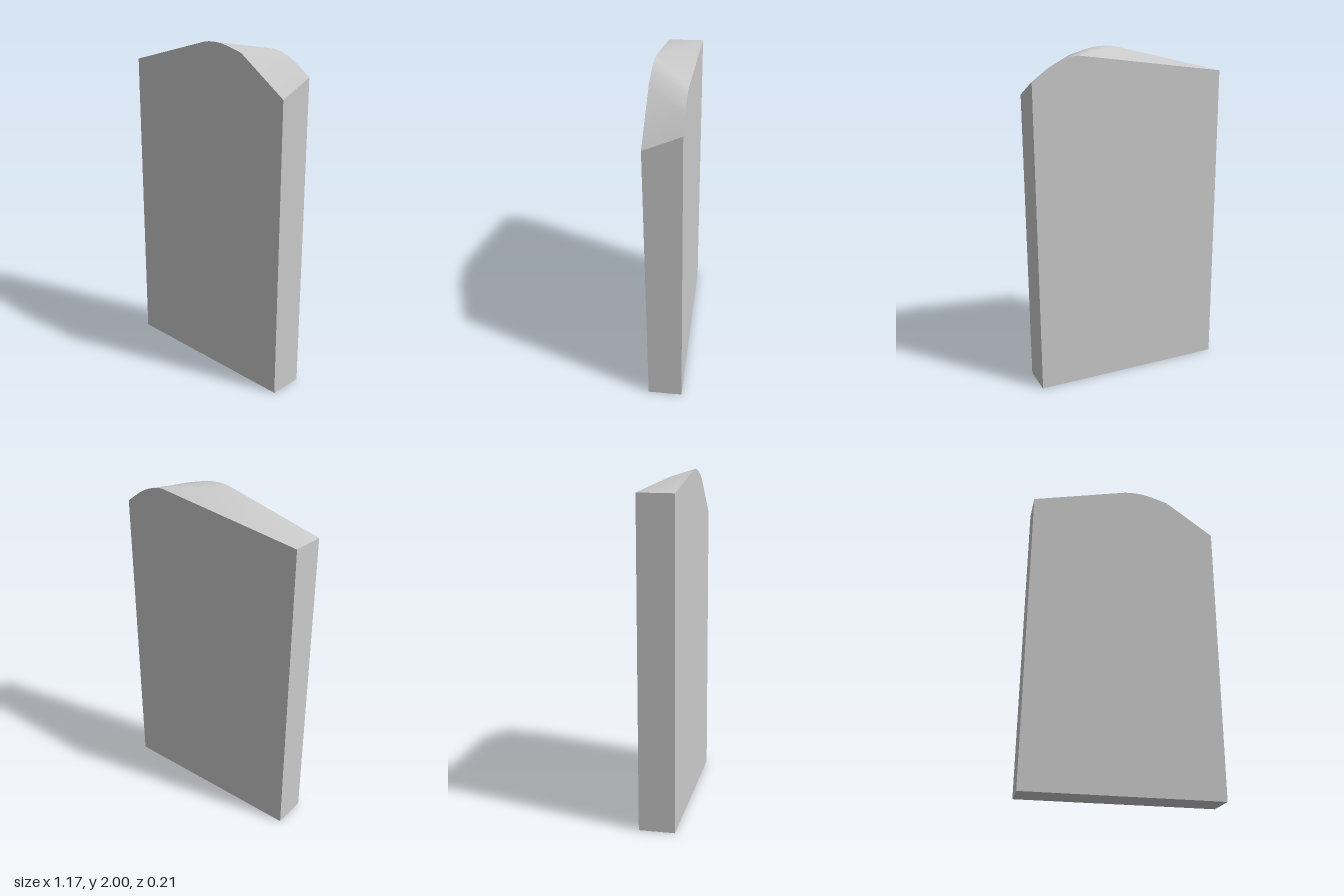
import * as THREE from 'three';
import { toCreasedNormals } from 'three/addons/utils/BufferGeometryUtils.js';

const HALF_DEPTH = 0.103;
const HALF_WIDTH = 0.586;

// Top edges of the two faces, paired point by point; repeated points make triangular facets
const frontTop = [
  [-HALF_WIDTH, 1.845], [0, 1.994], [0, 1.994], [0.04, 2], [0.085, 2],
  [0.13, 1.997], [0.175, 1.988], [0.285, 1.958], [HALF_WIDTH, 1.748],
];
const backTop = [
  [-HALF_WIDTH, 1.85], [-HALF_WIDTH, 1.85], [0.31, 1.967], [0.33, 1.967], [0.355, 1.964],
  [0.385, 1.958], [0.44, 1.937], [0.5, 1.903], [HALF_WIDTH, 1.84],
];

// Closed outline at one depth, counter-clockwise seen from the front
function outline(top, z) {
  const points = [[-HALF_WIDTH, 0], [HALF_WIDTH, 0], ...[...top].reverse()];
  return points.map(([x, y]) => new THREE.Vector3(x, y, z));
}

function createSlabGeometry() {
  const front = outline(frontTop, HALF_DEPTH);
  const back = outline(backTop, -HALF_DEPTH);
  const positions = [];
  const triangle = (a, b, c) => {
    if (a.equals(b) || b.equals(c) || c.equals(a)) return;
    for (const p of [a, b, c]) positions.push(p.x, p.y, p.z);
  };

  // Front and back faces as fans
  for (let i = 1; i < front.length - 1; i++) {
    triangle(front[0], front[i], front[i + 1]);
    triangle(back[0], back[i + 1], back[i]);
  }
  // Base, sides and the twisted, rounded top
  for (let i = 0; i < front.length; i++) {
    const j = (i + 1) % front.length;
    triangle(front[i], back[i], back[j]);
    triangle(front[i], back[j], front[j]);
  }

  const geometry = new THREE.BufferGeometry();
  geometry.setAttribute('position', new THREE.Float32BufferAttribute(positions, 3));
  return toCreasedNormals(geometry, THREE.MathUtils.degToRad(25));
}

export function createModel() {
  const model = new THREE.Group();
  model.name = 'standingSlab';
  const slab = new THREE.Mesh(
    createSlabGeometry(),
    new THREE.MeshStandardMaterial({ color: 0xcccccc }),
  );
  slab.name = 'slab';
  model.add(slab);
  return model;
}
